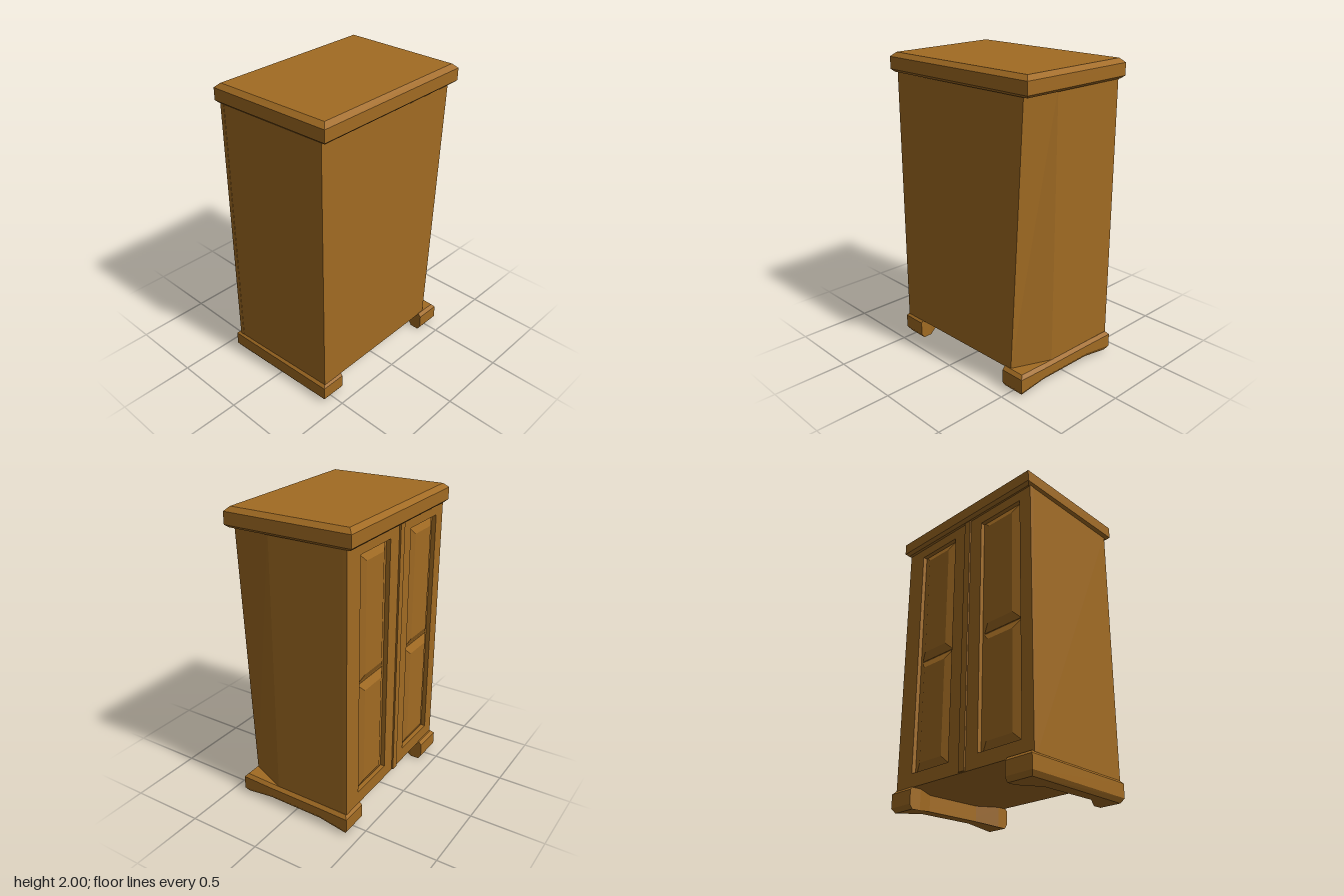
import * as THREE from 'three';

const wood = new THREE.MeshStandardMaterial({ color: 0xa16b23 });
wood.name = 'brown wood';

// Flat-sided solid through stacked rings of [x, y, z] points, closed at both ends
function loft(rings) {
  const out = [];
  const n = rings[0].length;
  const tri = (a, b, c) => out.push(...a, ...b, ...c);
  for (let r = 0; r < rings.length - 1; r++) {
    for (let i = 0; i < n; i++) {
      const j = (i + 1) % n;
      const [a, b, c, d] = [rings[r][i], rings[r][j], rings[r + 1][j], rings[r + 1][i]];
      tri(a, b, c);
      tri(a, c, d);
    }
  }
  const cap = (ring, up) => {
    const flat = ring.map(p => new THREE.Vector2(p[0], -p[2]));
    for (const [a, b, c] of THREE.ShapeUtils.triangulateShape(flat, [])) {
      if (up) tri(ring[a], ring[b], ring[c]);
      else tri(ring[a], ring[c], ring[b]);
    }
  };
  cap(rings[0], false);
  cap(rings[rings.length - 1], true);
  const geo = new THREE.BufferGeometry();
  geo.setAttribute('position', new THREE.Float32BufferAttribute(out, 3));
  geo.computeVertexNormals();
  return geo;
}

// Ring from a plan outline, with its outer edges pulled in by d
const ring = (plan, y, d = 0) => plan.map(([x, z]) => [
  Math.abs(x) > 0.4 ? x - Math.sign(x) * d : x,
  typeof y === 'function' ? y(x, z) : y,
  Math.abs(z) > 0.55 ? z - Math.sign(z) * d : z,
]);

function rectPath(Type, u0, u1, y0, y1) {
  const p = new Type();
  p.moveTo(u0, y0);
  p.lineTo(u1, y0);
  p.lineTo(u1, y1);
  p.lineTo(u0, y1);
  p.closePath();
  return p;
}

export function createModel() {
  const model = new THREE.Group();
  model.name = 'cupboard';
  const add = (parent, name, geo) => {
    const mesh = new THREE.Mesh(geo, wood);
    mesh.name = name;
    parent.add(mesh);
    return mesh;
  };

  // Body, with one back corner cut away towards the floor
  const bodyPlan = cut => [[-0.36, 0.595], [0.4, 0.558], [0.388, cut], [0.13, -0.578], [-0.375, -0.583]];
  add(model, 'body', loft([
    bodyPlan(-0.47).map(([x, z]) => [x, 0.135, z]),
    bodyPlan(-0.56).map(([x, z]) => [x, 1.9, z]),
  ]));

  // Bevelled top, slightly skewed
  const topPlan = [[-0.42, 0.612], [0.442, 0.575], [0.417, -0.617], [-0.445, -0.603]];
  add(model, 'top', loft([
    ring(topPlan, 1.875, 0.02), ring(topPlan, 1.893),
    ring(topPlan, 1.972), ring(topPlan, 2, 0.03),
  ]));

  // Front and back plinths, hollowed on the inner side to leave feet
  const frontPlan = [
    [-0.42, 0.61], [0.412, 0.575], [0.412, 0.405], [0.33, 0.405],
    [0.2, 0.49], [-0.2, 0.49], [-0.34, 0.405], [-0.42, 0.405],
  ];
  const backPlan = [
    [-0.42, -0.42], [-0.34, -0.42], [-0.2, -0.5], [0.2, -0.5], [0.33, -0.42],
    [0.412, -0.42], [0.412, -0.59], [0.2, -0.597], [-0.2, -0.602], [-0.42, -0.607],
  ];
  const arch = x => (Math.abs(x) < 0.25 ? 0.03 : 0);
  add(model, 'frontPlinth', loft([
    ring(frontPlan, 0, 0.02), ring(frontPlan, 0.03),
    ring(frontPlan, 0.12), ring(frontPlan, 0.142, 0.02),
  ]));
  add(model, 'backPlinth', loft([
    ring(backPlan, arch, 0.02), ring(backPlan, x => 0.03 + arch(x)),
    ring(backPlan, 0.12), ring(backPlan, 0.142, 0.02),
  ]));

  // Door side: local x runs along the depth, local z points outward
  const doors = new THREE.Group();
  doors.name = 'doorSide';
  doors.position.set(-0.367, 0, 0);
  doors.rotation.y = -Math.PI / 2 + 0.0127;
  model.add(doors);

  const openings = [[-0.44, -0.1], [0.155, 0.505]];
  const frame = rectPath(THREE.Shape, -0.583, 0.597, 0.135, 1.9);
  for (const [a, b] of openings) frame.holes.push(rectPath(THREE.Path, a, b, 0.225, 1.81));
  add(doors, 'doorFrame', new THREE.ExtrudeGeometry(frame, { depth: 0.03, bevelEnabled: false }));

  // Raised panels, two per door
  for (const [a, b] of openings) {
    for (const [y0, y1] of [[0.225, 0.985], [0.985, 1.81]]) {
      const face = rectPath(THREE.Shape, a + 0.07, b - 0.07, y0 + 0.055, y1 - 0.055);
      add(doors, 'doorPanel', new THREE.ExtrudeGeometry(face, {
        depth: 0.004, bevelThickness: 0.024, bevelSize: 0.05, bevelSegments: 1,
      }));
    }
  }

  // Strip covering the joint between the doors
  const strip = add(doors, 'centreStrip', new THREE.BoxGeometry(0.05, 1.74, 0.03));
  strip.position.set(0.03, 1.01, 0.026);

  return model;
}
